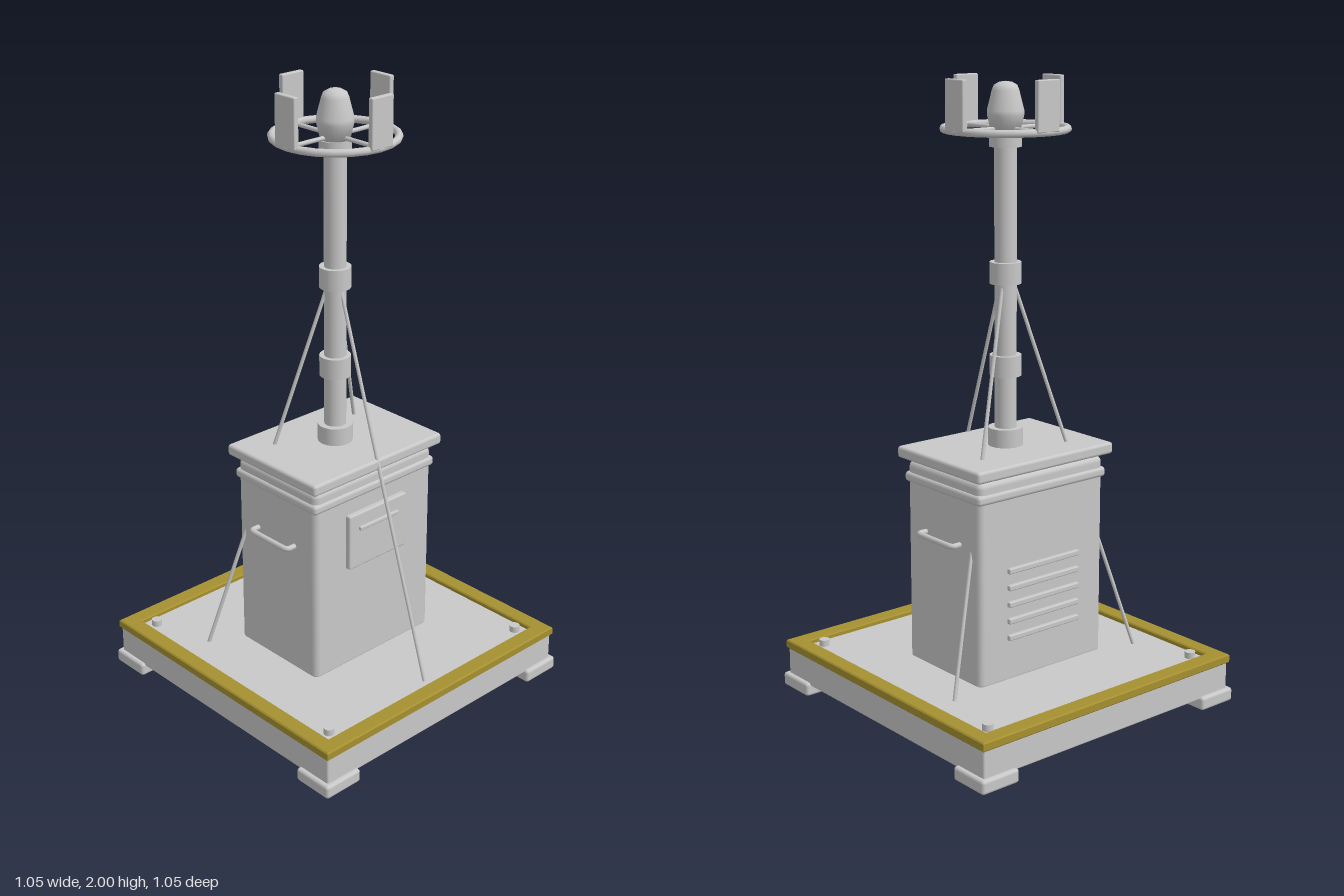
import * as THREE from 'three';
import { RoundedBoxGeometry } from 'three/addons/geometries/RoundedBoxGeometry.js';

export function createModel() {
  const model = new THREE.Group();
  model.name = 'mastStation';
  const grey = new THREE.MeshStandardMaterial({ color: 0xc8c8c8 });
  grey.name = 'light grey metal';
  const yellow = new THREE.MeshStandardMaterial({ color: 0xa59030 });
  yellow.name = 'mustard trim';

  const add = (name, geometry, x, y, z, material = grey, parent = model) => {
    const mesh = new THREE.Mesh(geometry, material);
    mesh.name = name;
    mesh.position.set(x, y, z);
    parent.add(mesh);
    return mesh;
  };
  // Rounded block given by its size, centre x/z and bottom/top heights
  const block = (name, w, y0, y1, d, x = 0, z = 0, r = 0.01) =>
    add(name, new RoundedBoxGeometry(w, y1 - y0, d, 2, r), x, (y0 + y1) / 2, z);
  // Upright cylinder between two heights
  const post = (name, r, y0, y1, x = 0, z = 0, sides = 24) =>
    add(name, new THREE.CylinderGeometry(r, r, y1 - y0, sides), x, (y0 + y1) / 2, z);
  // Thin rod between two points
  const rod = (name, a, b, r) => {
    const dir = b.clone().sub(a);
    const mid = a.clone().add(b).multiplyScalar(0.5);
    const mesh = add(name, new THREE.CylinderGeometry(r, r, dir.length(), 10), mid.x, mid.y, mid.z);
    mesh.quaternion.setFromUnitVectors(new THREE.Vector3(0, 1, 0), dir.normalize());
  };
  const V = (x, y, z) => new THREE.Vector3(x, y, z);

  // Base slab with corner feet and bolts
  block('baseSlab', 1.02, 0.035, 0.145, 1.02, 0, 0, 0.006);
  for (const sx of [-1, 1]) for (const sz of [-1, 1]) {
    block('foot', 0.14, 0, 0.045, 0.14, sx * 0.455, sz * 0.455, 0.01);
    post('bolt', 0.017, 0.14, 0.166, sx * 0.425, sz * 0.425, 16);
  }

  // Raised trim frame around the slab
  const square = (path, h) => path.moveTo(-h, -h).lineTo(h, -h).lineTo(h, h).lineTo(-h, h).closePath();
  const frame = square(new THREE.Shape(), 0.511);
  frame.holes.push(square(new THREE.Path(), 0.464));
  const trim = new THREE.ExtrudeGeometry(frame, {
    depth: 0.022, bevelEnabled: true, bevelThickness: 0.004, bevelSize: 0.004, bevelSegments: 1,
  });
  trim.rotateX(-Math.PI / 2);
  add('trimFrame', trim, 0, 0.134, 0, yellow);

  // Cabinet body, band and lid
  block('cabinet', 0.51, 0.13, 0.805, 0.365, 0, 0, 0.02);
  block('cabinetBand', 0.525, 0.735, 0.768, 0.378, 0, 0, 0.012);
  block('cabinetNeck', 0.48, 0.78, 0.82, 0.34, 0, 0, 0.008);
  block('lid', 0.555, 0.812, 0.85, 0.41, 0, 0, 0.01);

  // Front hatch with its pull
  block('frontHatch', 0.25, 0.498, 0.688, 0.024, 0, 0.188, 0.006);
  block('hatchPull', 0.17, 0.628, 0.642, 0.012, 0, 0.203, 0.004);

  // Rear louvres
  for (let i = 0; i < 5; i++) {
    const y = 0.285 + i * 0.055;
    block('louvre', 0.29, y - 0.009, y + 0.009, 0.02, 0, -0.185, 0.004);
  }

  // Side handles
  for (const s of [-1, 1]) {
    const path = new THREE.CatmullRomCurve3([
      V(s * 0.25, 0.59, -0.085), V(s * 0.28, 0.59, -0.085), V(s * 0.288, 0.59, -0.07),
      V(s * 0.288, 0.59, 0.07), V(s * 0.28, 0.59, 0.085), V(s * 0.25, 0.59, 0.085),
    ], false, 'catmullrom', 0.2);
    add('sideHandle', new THREE.TubeGeometry(path, 40, 0.009, 10), 0, 0, 0);
  }

  // Mast and collars
  post('mast', 0.035, 0.84, 1.86);
  post('mastSocket', 0.056, 0.84, 0.908);
  post('lowerCollar', 0.05, 1.075, 1.142);
  post('upperCollar', 0.05, 1.368, 1.436);
  post('headCollar', 0.05, 1.79, 1.835);

  // Tapered cap on the mast
  const capProfile = [[0, 1.835], [0.045, 1.835], [0.057, 1.885], [0.057, 1.9], [0.042, 1.96],
    [0.036, 1.975], [0.02, 1.984], [0, 1.987]].map(([x, y]) => new THREE.Vector2(x, y));
  add('mastCap', new THREE.LatheGeometry(capProfile, 24), 0, 0, 0);

  // Head ring, spokes and upright panels
  const ring = new THREE.TorusGeometry(0.19, 0.012, 10, 24);
  ring.rotateX(Math.PI / 2);
  add('headRing', ring, 0, 1.845, 0);
  for (let i = 0; i < 4; i++) {
    const a = i * Math.PI / 2;
    const dx = Math.sin(a), dz = Math.cos(a);
    rod('spoke', V(dx * 0.03, 1.845, dz * 0.03), V(dx * 0.19, 1.845, dz * 0.19), 0.007);
    const panel = block('headPanel', 0.086, 1.845, 2, 0.018, dx * 0.192, dz * 0.192, 0.004);
    panel.rotation.y = a;
  }

  // Guy wires from mast to slab
  for (let i = 0; i < 3; i++) {
    const a = -0.025 + i * Math.PI * 2 / 3;
    const dx = Math.sin(a), dz = Math.cos(a);
    rod('guyWire', V(dx * 0.025, 1.37, dz * 0.025), V(dx * 0.427, 0.145, dz * 0.427), 0.006);
  }

  return model;
}
